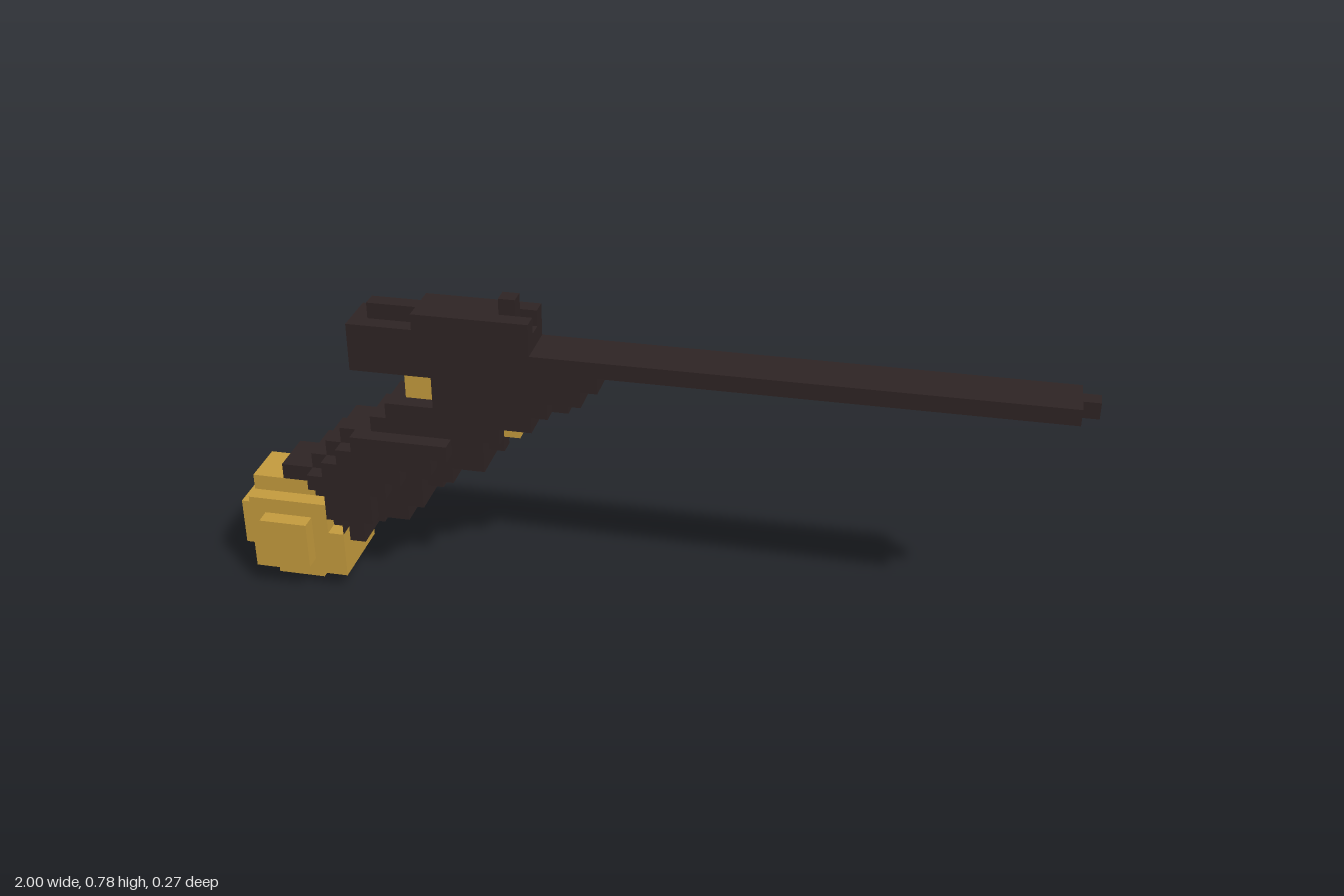
import * as THREE from 'three';

const U = 2 / 51; // one cube of the block grid

export function createModel() {
  const model = new THREE.Group();
  model.name = 'blockPistol';
  const darkSteel = new THREE.MeshStandardMaterial({ color: 0x2e2424 });
  darkSteel.name = 'darkSteel';
  const brass = new THREE.MeshStandardMaterial({ color: 0xc39a3d });
  brass.name = 'brass';

  const part = (name) => {
    const g = new THREE.Group();
    g.name = name;
    model.add(g);
    return g;
  };
  // Box over the cell ranges [from, to) along x and y, and [from, to] along z
  const block = (group, mat, x0, x1, y0, y1, z0, z1) => {
    const geo = new THREE.BoxGeometry((x1 - x0) * U, (y1 - y0) * U, (z1 - z0 + 1) * U);
    const m = new THREE.Mesh(geo, mat);
    m.name = group.name + 'Block';
    m.position.set(-1 + ((x0 + x1) / 2) * U, ((y0 + y1) / 2) * U, ((z0 + z1) / 2) * U);
    group.add(m);
  };

  // Barrel with a narrow muzzle
  const barrel = part('barrel');
  block(barrel, darkSteel, 19, 50, 16, 17, -1, 1);
  block(barrel, darkSteel, 50, 51, 16, 17, 0, 0);

  // Receiver with a stepped top
  const receiver = part('receiver');
  block(receiver, darkSteel, 8, 19, 15, 18, -1, 1);
  block(receiver, darkSteel, 9, 18, 18, 19, 0, 0);
  for (const z of [-1, 1]) block(receiver, darkSteel, 12, 19, 18, 19, z, z);

  const sight = part('sight');
  block(sight, darkSteel, 17, 18, 19, 20, 0, 0);
  const bolt = part('bolt');
  block(bolt, darkSteel, 9, 11, 16, 17, -2, -2);

  // Slanted grip: row, first cell, end cell
  const rows = [
    [3, 6, 8], [4, 6, 9], [5, 5, 11], [6, 5, 12], [7, 3, 13], [8, 5, 14], [9, 6, 16],
    [10, 7, 17], [11, 9, 17], [12, 10, 19], [13, 13, 21], [14, 13, 22], [15, 19, 23],
  ];
  const grip = part('grip');
  const cheeks = part('gripCheeks');
  for (const [y, a, b] of rows) {
    const inset = y % 3 === 1 ? 1 : 0;
    block(grip, darkSteel, a, b, y, y + 1, 0, 0);
    for (const z of [-1, 1]) block(grip, darkSteel, a, b - inset, y, y + 1, z, z);
    // Raised cheek on each side
    const from = Math.max(5, a + 1);
    if (y >= 4 && y <= 10) block(cheeks, darkSteel, from, b - 3 + (y < 6 ? 1 : 0), y, y + 1, 2, 2);
    if (y >= 5 && y <= 9) block(cheeks, darkSteel, from, Math.min(12, b - 3), y, y + 1, -2, -2);
    if (y >= 11 && y <= 14) block(cheeks, darkSteel, Math.max(13, b - 6), b - 3, y, y + 1, -2, -2);
  }

  // Brass pieces at the hammer, trigger and side pin
  const hammer = part('hammer');
  block(hammer, brass, 11, 13, 13, 15, 0, 0);
  const trigger = part('trigger');
  block(trigger, brass, 17, 18, 11, 12, 0, 0);
  const pin = part('sidePin');
  block(pin, brass, 11, 12, 11, 12, -2, -2);

  // Rounded brass pommel
  const pommel = part('pommel');
  block(pommel, brass, 1, 6, 1, 6, -2, 2);
  block(pommel, brass, 0, 1, 2, 5, -1, 1);
  block(pommel, brass, 2, 5, 0, 1, -1, 1);
  block(pommel, brass, 1, 5, 6, 7, -1, 1);
  block(pommel, brass, 6, 7, 1, 3, -2, 2);
  block(pommel, brass, 6, 7, 3, 4, 2, 2);
  block(pommel, brass, 6, 7, 3, 5, -2, -2);
  block(pommel, brass, 2, 5, 2, 5, 2, 3);
  // Ragged far face
  block(pommel, brass, 2, 5, 1, 6, -3, -3);
  block(pommel, brass, 1, 2, 2, 5, -3, -3);
  block(pommel, brass, 5, 6, 2, 5, -3, -3);

  return model;
}
